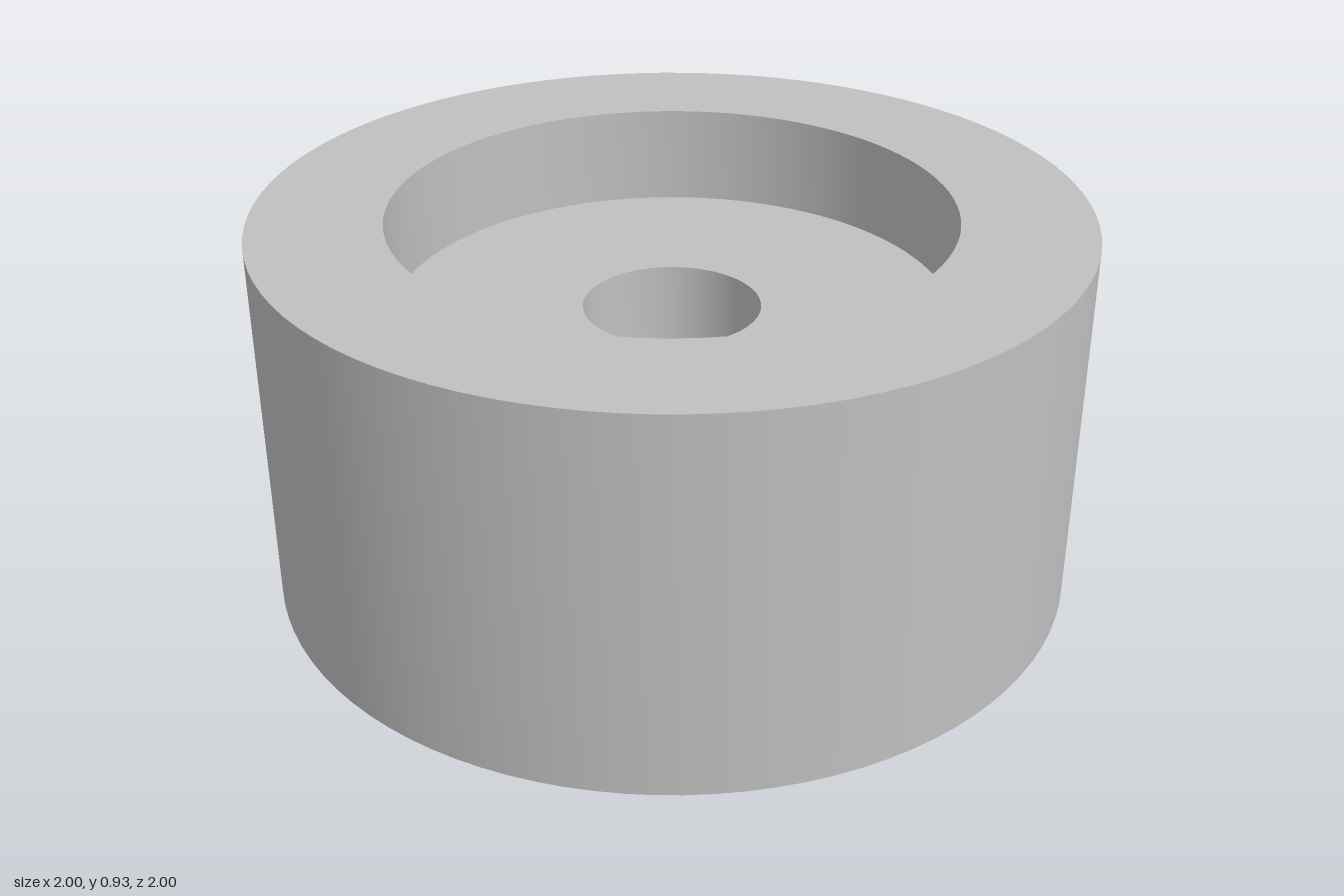
import * as THREE from 'three';
import { toCreasedNormals } from 'three/addons/utils/BufferGeometryUtils.js';

export function createModel() {
  const group = new THREE.Group();
  group.name = 'recessedSpacer';

  const grey = new THREE.MeshStandardMaterial({ color: 0xc0c0c0 });
  grey.name = 'plain grey';

  const height = 0.93, outer = 1, recess = 0.68, bore = 0.217, depth = 0.25;

  // Closed profile: outer wall, top recess, bore, bottom recess
  const profile = [
    [outer, 0], [outer, height],
    [recess, height], [recess, height - depth],
    [bore, height - depth], [bore, depth],
    [recess, depth], [recess, 0],
    [outer, 0],
  ].map(([r, y]) => new THREE.Vector2(r, y));

  // Smooth round walls with sharp rims
  const geometry = toCreasedNormals(new THREE.LatheGeometry(profile, 96), Math.PI / 6);
  const body = new THREE.Mesh(geometry, grey);
  body.name = 'body';
  group.add(body);

  return group;
}
